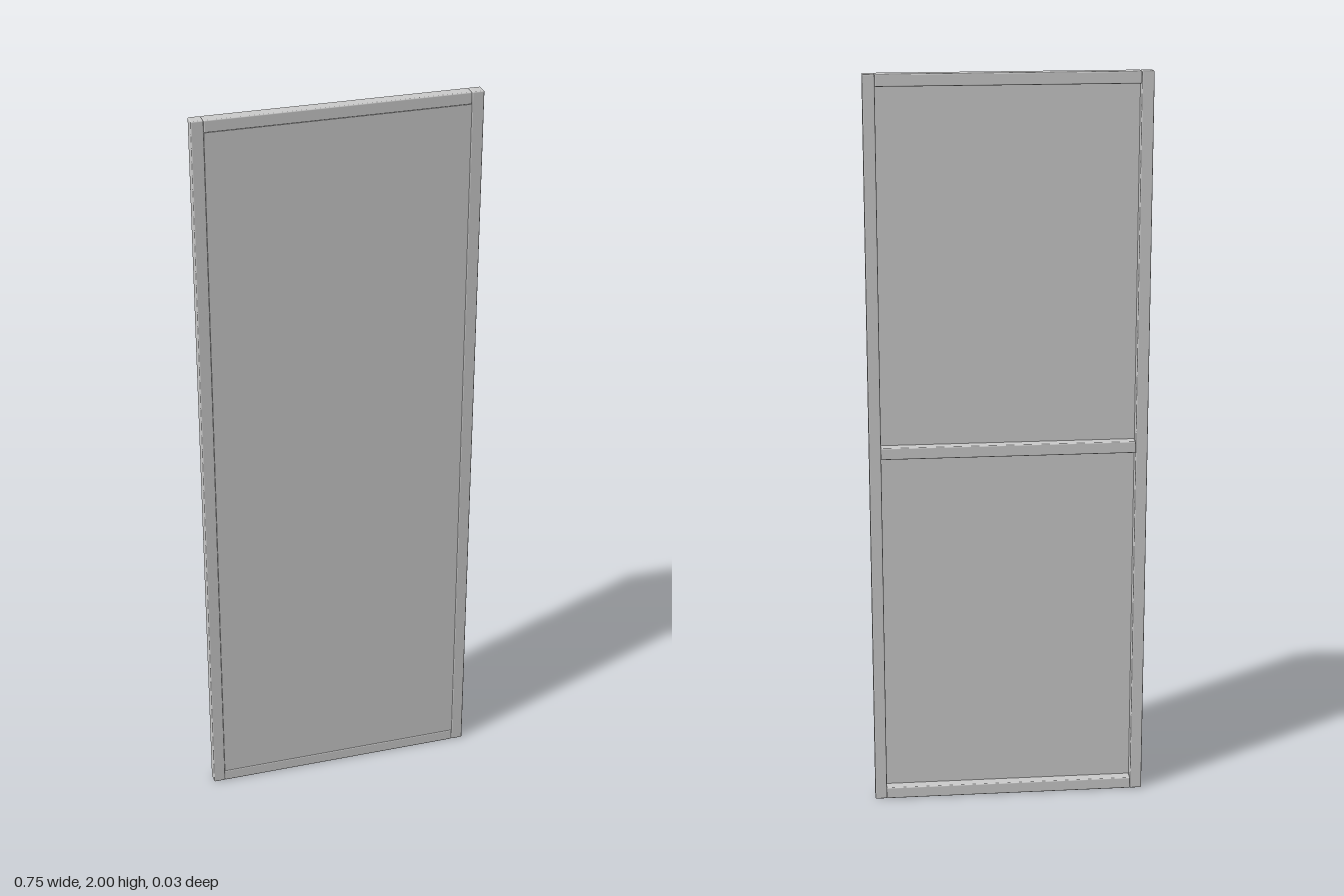
import * as THREE from 'three';
import { RoundedBoxGeometry } from 'three/addons/geometries/RoundedBoxGeometry.js';

const W = 0.746, H = 2, BAR = 0.032, DEPTH = 0.033;

export function createModel() {
  const group = new THREE.Group();
  const material = new THREE.MeshStandardMaterial({ color: 0xcccccc });

  const add = (name, geometry, x, y, z) => {
    const mesh = new THREE.Mesh(geometry, material);
    mesh.name = name;
    mesh.position.set(x, y, z);
    group.add(mesh);
  };
  // softly rounded frame member
  const bar = (w, h, d) => new RoundedBoxGeometry(w, h, d, 3, 0.003);

  // full-height stiles on both sides
  for (const [name, s] of [['leftStile', 1], ['rightStile', -1]]) {
    add(name, bar(BAR, H, DEPTH), s * (W - BAR) / 2, H / 2, 0);
  }

  // top and bottom rails between the stiles
  const inner = W - 2 * BAR;
  add('topRail', bar(inner, BAR, DEPTH), 0, H - BAR / 2, 0);
  add('bottomRail', bar(inner, BAR, DEPTH), 0, BAR / 2, 0);

  // thin panel set almost flush with the front of the frame
  const thickness = 0.003, front = DEPTH / 2 - 0.001;
  add('panel', new THREE.BoxGeometry(inner, H - 2 * BAR, thickness), 0, H / 2, front - thickness / 2);

  // middle rail behind the panel, flush with the back
  const depth = DEPTH / 2 + front - thickness / 2;
  add('middleRail', bar(inner, BAR, depth), 0, H / 2, (depth - DEPTH) / 2);

  return group;
}
